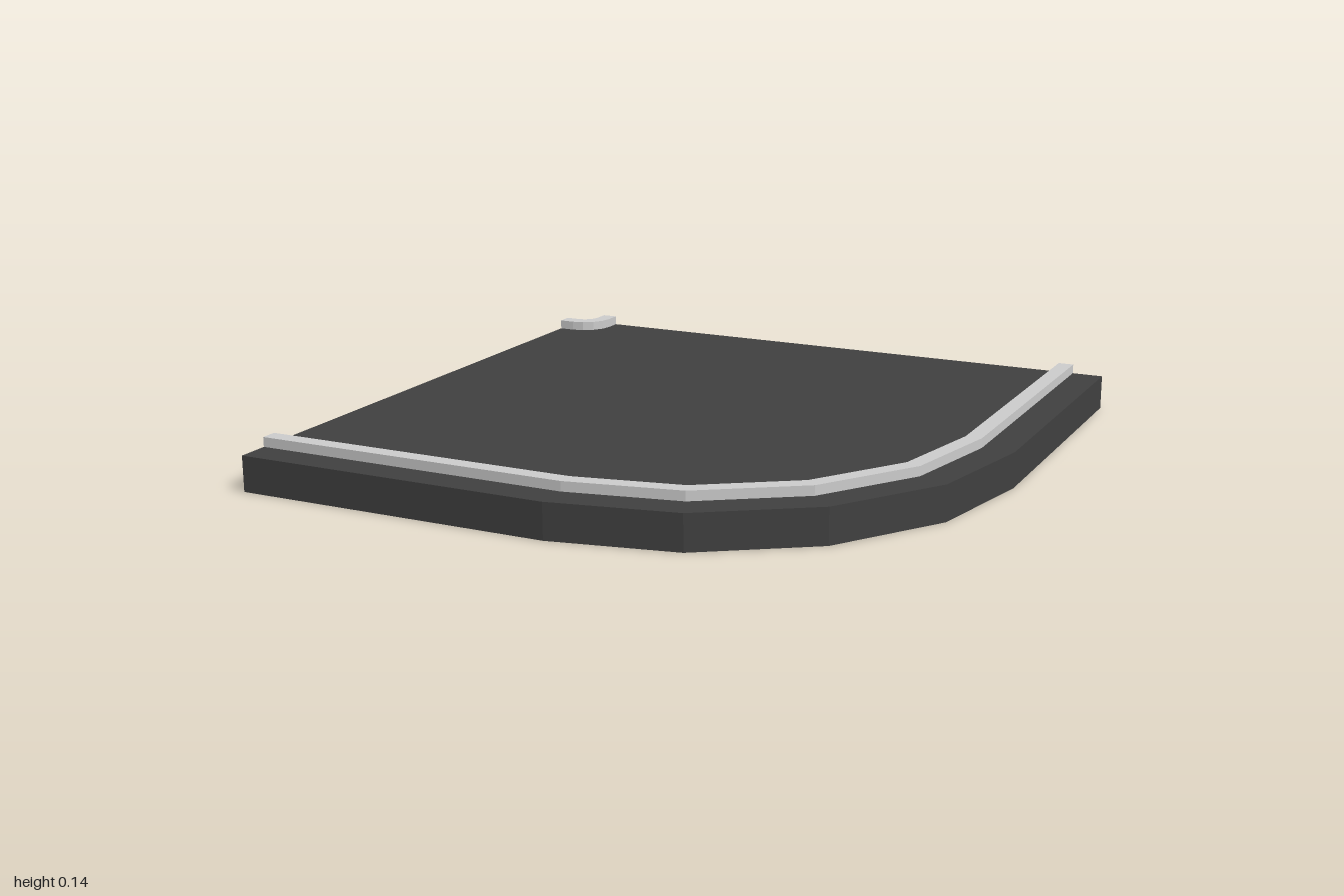
import * as THREE from 'three';

const SLAB_TOP = 0.11, LINE_TOP = 0.14;

// Points of a faceted quarter turn from +z round to +x, as (x, z) pairs
function quarterArc(cx, cz, r, segments = 4) {
  return Array.from({ length: segments + 1 }, (_, i) => {
    const a = (i / segments) * Math.PI / 2;
    return new THREE.Vector2(cx + r * Math.sin(a), cz + r * Math.cos(a));
  });
}

// Path running from the left edge of the plan, round the bend, to the back edge
function bendPath(c, r) {
  return [new THREE.Vector2(-1, c + r), ...quarterArc(c, c, r), new THREE.Vector2(c + r, -1)];
}

// Extrude an (x, z) outline between two heights
function plate(name, points, bottom, top, material) {
  const geometry = new THREE.ExtrudeGeometry(new THREE.Shape(points), {
    depth: top - bottom, bevelEnabled: false,
  });
  geometry.rotateX(Math.PI / 2);
  geometry.translate(0, top, 0);
  const mesh = new THREE.Mesh(geometry, material);
  mesh.name = name;
  return mesh;
}

export function createModel() {
  const asphalt = new THREE.MeshStandardMaterial({ color: 0x404040, flatShading: true });
  asphalt.name = 'asphalt';
  const paint = new THREE.MeshStandardMaterial({ color: 0xcccccc, flatShading: true });
  paint.name = 'linePaint';

  const group = new THREE.Group();
  group.name = 'roadCorner';

  // Road slab with one rounded corner
  group.add(plate('roadSlab', [...bendPath(0, 1), new THREE.Vector2(-1, -1)], 0, SLAB_TOP, asphalt));

  // Raised edge lines: outside and inside of the bend
  const edgeLine = (name, c, outer, inner) =>
    plate(name, [...bendPath(c, outer), ...bendPath(c, inner).reverse()], SLAB_TOP, LINE_TOP, paint);
  group.add(edgeLine('outerEdgeLine', 0, 0.9, 0.85));
  group.add(edgeLine('innerEdgeLine', -0.95, 0.1, 0.05));

  return group;
}
